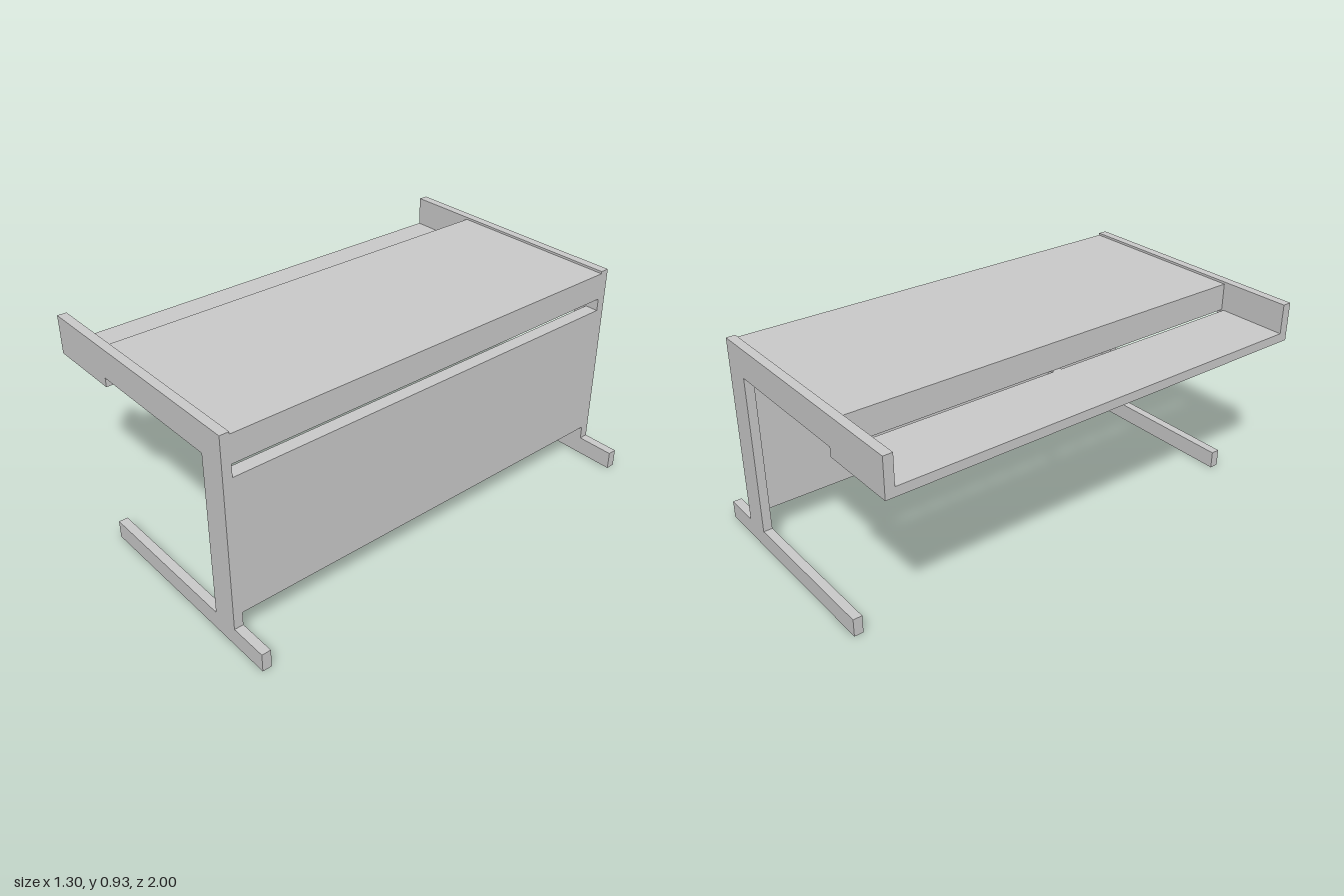
import * as THREE from 'three';

const material = new THREE.MeshStandardMaterial({ color: 0xcccccc, flatShading: true });

// Box given by its extents on each axis
function box(name, [x0, x1], [y0, y1], [z0, z1]) {
  const mesh = new THREE.Mesh(new THREE.BoxGeometry(x1 - x0, y1 - y0, z1 - z0), material);
  mesh.position.set((x0 + x1) / 2, (y0 + y1) / 2, (z0 + z1) / 2);
  mesh.name = name;
  return mesh;
}

export function createModel() {
  const desk = new THREE.Group();
  desk.name = 'desk';
  const thick = 0.04, inner = 1 - thick;

  // C-shaped side frames: foot, post and top arm with a deeper shelf end
  const outline = [
    [-0.36, 0], [0.65, 0], [0.65, 0.08], [0.48, 0.08], [0.48, 0.93], [-0.65, 0.93],
    [-0.65, 0.76], [-0.3, 0.76], [-0.3, 0.8], [0.36, 0.8], [0.36, 0.08], [-0.36, 0.08],
  ];
  const shape = new THREE.Shape(outline.map(([x, y]) => new THREE.Vector2(x, y)));
  const frame = new THREE.ExtrudeGeometry(shape, { depth: thick, bevelEnabled: false });
  for (const [name, z] of [['frontSideFrame', inner], ['backSideFrame', -1]]) {
    const mesh = new THREE.Mesh(frame, material);
    mesh.name = name;
    mesh.position.z = z;
    desk.add(mesh);
  }

  // Boards spanning between the frames
  const span = [-inner, inner];
  desk.add(
    box('tabletop', [-0.325, 0.48], [0.8, 0.92], span),
    box('lowerShelf', [-0.65, -0.335], [0.76, 0.8], span),
    box('modestyPanel', [0.42, 0.48], [0.14, 0.745], span),
    // Small block joining the shelf to the tabletop across the cable slot
    box('shelfBracket', [-0.335, -0.3], [0.76, 0.8], [-0.02, 0.02]),
  );
  return desk;
}
